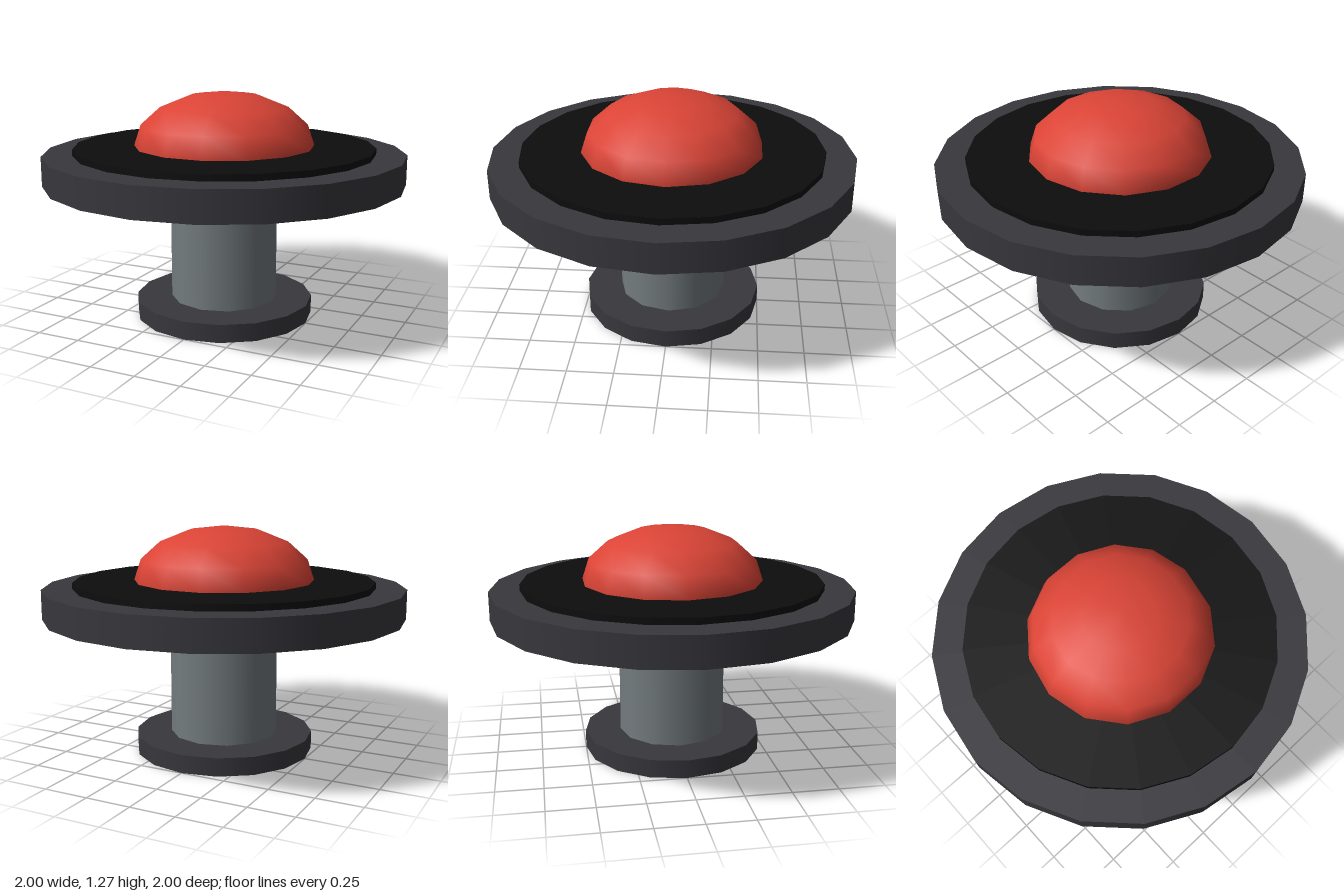
import * as THREE from 'three';

const mat = (name, color) => {
  const m = new THREE.MeshStandardMaterial({ color });
  m.name = name;
  return m;
};

export function createModel() {
  const model = new THREE.Group();
  model.name = 'pushButton';

  const charcoal = mat('charcoal', 0x38373d);
  const grey = mat('steelGrey', 0x747c7f);
  const black = mat('black', 0x0d0d0d);
  const red = mat('red', 0xdb4436);

  // Upright disc or post between two heights
  const disc = (name, radius, bottom, top, sides, material) => {
    const mesh = new THREE.Mesh(
      new THREE.CylinderGeometry(radius, radius, top - bottom, sides), material);
    mesh.name = name;
    mesh.position.y = (bottom + top) / 2;
    model.add(mesh);
  };

  disc('foot', 0.5, 0, 0.1, 16, charcoal);
  disc('stem', 0.3, 0.1, 0.77, 12, grey);
  disc('plate', 1, 0.77, 0.933, 20, charcoal);
  disc('inset', 0.833, 0.933, 0.967, 20, black);

  // Flattened half sphere
  const dome = new THREE.Mesh(
    new THREE.SphereGeometry(0.5, 14, 4, 0, Math.PI * 2, 0, Math.PI / 2), red);
  dome.name = 'buttonDome';
  dome.scale.y = 0.6;
  dome.position.y = 0.967;
  model.add(dome);

  return model;
}
